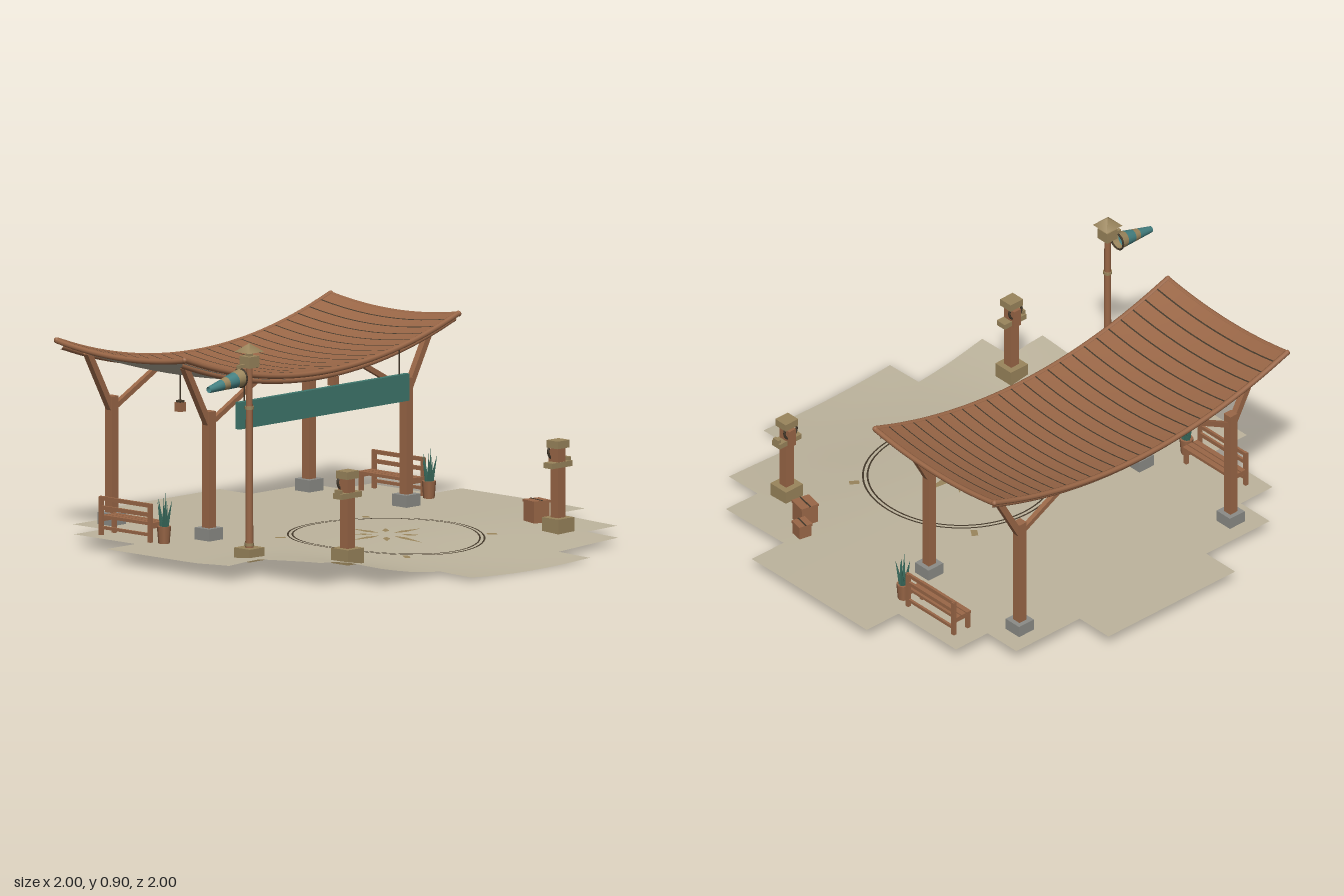
import * as THREE from 'three';

const mat = (name, color, side = THREE.FrontSide) => {
  const m = new THREE.MeshStandardMaterial({ color, side });
  m.name = name;
  return m;
};
const M = {
  ground: mat('sandy ground', 0xbdb49d, THREE.DoubleSide),
  wood: mat('warm wood', 0x9a6747),
  dark: mat('dark seam', 0x43382a),
  under: mat('roof lining', 0xb4ad9b),
  stone: mat('grey stone', 0x8c8c87),
  tan: mat('tan fittings', 0x9a855c),
  teal: mat('teal cloth', 0x3f776d),
  leaf: mat('leaf green', 0x3a6c5e, THREE.DoubleSide),
  sockTeal: mat('windsock teal', 0x437f80, THREE.DoubleSide),
  sockTan: mat('windsock tan', 0x9a855c, THREE.DoubleSide),
};

const { clamp, smoothstep } = THREE.MathUtils;
// Terrain: level court, dip at the front centre, rise at one front corner
const groundY = (x, z) => {
  const dip = 0.042 * smoothstep(z, 0.2, 1.05) * Math.exp(-((x / 0.6) ** 2));
  const rise = 0.053 * clamp((z - 0.15) / 0.5, 0, 1) * Math.exp(-(((x + 0.83) / 0.27) ** 2));
  return 0.055 - 0.01 * smoothstep(z, 0.1, 0.8) - dip + rise;
};
// Saddle-shaped roof
const RX = 0.77, RZ = 0.345, ZC = -0.475;
const roofY = (x, z) => 0.62 + 0.14 * (x / RX) ** 2 + 0.03 * ((z - ZC) / RZ) ** 2;

function add(parent, name, geo, material, x = 0, y = 0, z = 0, ry = 0) {
  const m = new THREE.Mesh(geo, material);
  m.name = name;
  m.position.set(x, y, z);
  m.rotation.y = ry;
  parent.add(m);
  return m;
}
const box = (w, h, d) => new THREE.BoxGeometry(w, h, d);
function group(parent, name) {
  const g = new THREE.Group();
  g.name = name;
  parent.add(g);
  return g;
}
// Square timber between two points
function beam(parent, name, a, b, t, material = M.wood) {
  const A = new THREE.Vector3(...a), B = new THREE.Vector3(...b);
  const m = add(parent, name, box(t, A.distanceTo(B), t), material);
  m.position.copy(A).lerp(B, 0.5);
  m.quaternion.setFromUnitVectors(new THREE.Vector3(0, 1, 0), B.sub(A).normalize());
}
// Lay a flat geometry over a height function
function drape(geo, heightAt, lift) {
  const p = geo.attributes.position;
  for (let i = 0; i < p.count; i++) p.setY(i, heightAt(p.getX(i), p.getZ(i)) + lift);
  geo.computeVertexNormals();
  return geo;
}

function buildGround(root) {
  // Stepped outline made by dropping grid cells
  const n = 24, geo = new THREE.PlaneGeometry(2, 2, n, n).rotateX(-Math.PI / 2);
  const limit = [6, 6, 5, 5, 4, 2], src = geo.index.array, keep = [];
  const ring = (i) => Math.floor(Math.abs(i + 0.5 - n / 2) / 2);
  for (let r = 0; r < n; r++) for (let c = 0; c < n; c++) {
    if (ring(c) < limit[ring(r)]) for (let k = 0; k < 6; k++) keep.push(src[(r * n + c) * 6 + k]);
  }
  geo.setIndex(keep);
  add(root, 'ground', drape(geo, groundY, 0), M.ground);

  // Landing circle with compass star
  const court = group(root, 'courtCircle'), cz = 0.22;
  for (const [r0, r1] of [[0.362, 0.369], [0.38, 0.387]]) {
    const g = new THREE.RingGeometry(r0, r1, 72).rotateX(-Math.PI / 2).translate(0, 0, cz);
    add(court, 'circleLine', drape(g, groundY, 0.003), M.dark);
  }
  for (let i = 0; i < 8; i++) {
    const [r0, r1, w] = i % 2 ? [0.055, 0.14, 0.015] : [0.04, 0.2, 0.016];
    const s = new THREE.Shape();
    s.moveTo(r0, 0);
    s.lineTo(r0 + 0.35 * (r1 - r0), -w);
    s.lineTo(r1, 0);
    s.lineTo(r0 + 0.35 * (r1 - r0), w);
    const g = new THREE.ShapeGeometry(s).rotateX(-Math.PI / 2).rotateY(i * Math.PI / 4).translate(0, 0, cz);
    add(court, 'starPoint', drape(g, groundY, 0.003), M.tan);
  }
  for (let i = 0; i < 4; i++) {
    const a = 0.615 + i * Math.PI / 2;
    const g = new THREE.PlaneGeometry(0.04, 0.026).rotateX(-Math.PI / 2).rotateY(-a);
    g.translate(0.42 * Math.cos(a), 0, cz + 0.42 * Math.sin(a));
    add(court, 'edgeMarker', drape(g, groundY, 0.003), M.tan);
  }
}

function buildPavilion(root) {
  const roof = group(root, 'roof');
  const sheet = (w, sx, face) => new THREE.PlaneGeometry(w, 2 * RZ, sx, 10).rotateX(face * Math.PI / 2);
  add(roof, 'roofPlanks', drape(sheet(2 * RX, 24, -1).translate(0, 0, ZC), roofY, 0.012), M.wood);
  add(roof, 'roofLining', drape(sheet(2 * RX, 24, 1).translate(0, 0, ZC), roofY, -0.006), M.under);
  for (let i = 1; i < 24; i++) {
    const g = sheet(0.006, 1, -1).translate(-RX + (i * 2 * RX) / 24, 0, ZC);
    add(roof, 'plankSeam', drape(g, roofY, 0.0145), M.dark);
  }
  // Rounded rails around the roof edge, doubled along the long sides
  const rail = (f, r) => {
    const pts = Array.from({ length: 13 }, (_, i) => f(i / 6 - 1));
    return new THREE.TubeGeometry(new THREE.CatmullRomCurve3(pts), 32, r, 8);
  };
  for (const s of [-1, 1]) {
    const z = ZC + s * RZ, zi = z - s * 0.022, x = s * RX;
    add(roof, 'longRail', rail((t) => new THREE.Vector3(t * RX, roofY(t * RX, z) + 0.007, z), 0.011), M.wood);
    add(roof, 'lowerRail', rail((t) => new THREE.Vector3(t * RX, roofY(t * RX, zi) - 0.012, zi), 0.011), M.wood);
    add(roof, 'endRail', rail((t) => new THREE.Vector3(x, roofY(x, ZC + t * RZ) + 0.004, ZC + t * RZ), 0.011), M.wood);
    for (const e of [-1, 1]) add(roof, 'railCorner', new THREE.SphereGeometry(0.012, 8, 6), M.wood, x, roofY(RX, z) + 0.006, ZC + e * RZ);
  }

  // Posts with stone feet and branching braces
  const frame = group(root, 'frame');
  for (const s of [-1, 1]) for (const z of [-0.205, -0.73]) {
    add(frame, 'postFoot', box(0.078, 0.055, 0.078), M.stone, s * 0.555, 0.075, z);
    add(frame, 'post', box(0.038, 0.47, 0.038), M.wood, s * 0.555, 0.327, z);
    beam(frame, 'outerBrace', [s * 0.555, 0.5, z], [s * 0.692, roofY(0.69, z), z], 0.026);
    beam(frame, 'innerBrace', [s * 0.545, 0.515, z], [s * 0.28, roofY(0.28, z), z], 0.02);
  }

  // Hanging sign board
  const sign = group(root, 'signBoard');
  add(sign, 'board', box(0.955, 0.107, 0.022), M.teal, 0, 0.543, -0.124);
  for (const s of [-1, 1]) beam(sign, 'hanger', [s * 0.435, 0.59, -0.128], [s * 0.435, roofY(0.435, -0.128), -0.128], 0.004, M.dark);

  // Lanterns under the roof
  for (const s of [-1, 1]) {
    const l = group(root, 'lantern'), x = s * 0.43;
    add(l, 'lanternBody', box(0.032, 0.036, 0.032), M.wood, x, 0.532, -0.48);
    add(l, 'lanternCap', box(0.024, 0.008, 0.024), M.dark, x, 0.554, -0.48);
    beam(l, 'lanternCord', [x, 0.555, -0.48], [x, roofY(x, -0.48), -0.48], 0.003, M.dark);
  }
}

function buildBenchAndPlant(root, s) {
  // Slatted bench facing inward
  const b = group(root, 'bench');
  for (const z of [-0.318, -0.582]) {
    add(b, 'backLeg', box(0.014, 0.155, 0.016), M.wood, s * 0.768, 0.128, z);
    add(b, 'frontLeg', box(0.014, 0.07, 0.016), M.wood, s * 0.695, 0.087, z);
    add(b, 'sideRail', box(0.075, 0.012, 0.012), M.wood, s * 0.732, 0.115, z);
  }
  for (const y of [0.2, 0.163]) add(b, 'backSlat', box(0.01, 0.016, 0.28), M.wood, s * 0.766, y, -0.45);
  for (const x of [0.695, 0.722, 0.749]) add(b, 'seatSlat', box(0.022, 0.012, 0.28), M.wood, s * x, 0.126, -0.45);
  add(b, 'stretcher', box(0.01, 0.012, 0.26), M.wood, s * 0.768, 0.085, -0.45);

  // Potted spiky plant
  const p = group(root, 'pottedPlant');
  p.position.set(s * 0.745, 0.053, -0.265);
  add(p, 'pot', new THREE.CylinderGeometry(0.028, 0.022, 0.07, 8), M.wood, 0, 0.035, 0);
  for (let i = 0; i < 7; i++) {
    const a = i * 2.4, h = i ? 0.13 - 0.006 * i : 0.135, lean = i ? 0.2 : 0;
    const leaf = add(p, 'leaf', new THREE.ConeGeometry(0.011, h, 4).translate(0, h / 2, 0), M.leaf, 0.01 * Math.cos(a), 0.065, 0.01 * Math.sin(a));
    leaf.rotation.set(Math.sin(a) * lean, 0, -Math.cos(a) * lean);
  }
}

function buildPillar(root, s) {
  // Marker pillar with cap, ring and side arms
  const g = group(root, 'markerPillar'), x = s * 0.592, z = 0.58;
  g.position.set(x, groundY(x, z), z);
  add(g, 'pillarFoot', box(0.09, 0.06, 0.09), M.tan, 0, 0.025, 0);
  add(g, 'pillarPost', box(0.042, 0.3, 0.04), M.wood, 0, 0.195, 0);
  add(g, 'pillarCap', box(0.066, 0.03, 0.06), M.tan, 0, 0.345, 0);
  add(g, 'pillarBlock', box(0.036, 0.075, 0.02), M.wood, 0, 0.285, -0.024);
  add(g, 'ring', new THREE.TorusGeometry(0.032, 0.005, 8, 24), M.dark, 0, 0.315, -0.022);
  add(g, 'sideArms', box(0.115, 0.022, 0.046), M.tan, 0, 0.264, 0);
  add(g, 'armTip', box(0.014, 0.035, 0.03), M.tan, s * 0.051, 0.272, 0);
}

function buildWindsock(root) {
  const g = group(root, 'windsockMast');
  g.position.set(-0.77, 0, 0.22);
  add(g, 'mastFoot', box(0.085, 0.05, 0.085), M.tan, 0, 0.073, 0);
  add(g, 'mast', new THREE.CylinderGeometry(0.013, 0.016, 0.73, 10), M.wood, 0, 0.455, 0);
  for (const y of [0.11, 0.65]) add(g, 'mastBand', new THREE.CylinderGeometry(0.018, 0.018, 0.012, 10), M.tan, 0, y, 0);
  add(g, 'mastHead', box(0.055, 0.045, 0.055), M.tan, 0, 0.832, 0);
  add(g, 'finialNeck', box(0.02, 0.025, 0.02), M.tan, 0, 0.862, 0);
  add(g, 'capRoof', new THREE.ConeGeometry(0.058, 0.034, 4).rotateY(Math.PI / 4), M.tan, 0, 0.888, 0);
  add(g, 'sockArm', box(0.06, 0.014, 0.014), M.tan, -0.035, 0.818, 0);
  add(g, 'sockHoop', new THREE.TorusGeometry(0.036, 0.004, 6, 20).rotateY(Math.PI / 2), M.dark, -0.05, 0.774, 0);
  // Tapering striped sock, drooping slightly
  const rad = (d) => 0.036 - 0.13 * d, stops = [0, 0.035, 0.08, 0.108, 0.18];
  const sock = group(g, 'sock');
  sock.position.set(-0.05, 0.774, 0);
  sock.rotation.z = 0.15;
  for (let i = 0; i < 4; i++) {
    const a = stops[i], b = stops[i + 1];
    const geo = new THREE.CylinderGeometry(rad(b), rad(a), b - a, 14, 1, true).rotateZ(Math.PI / 2);
    add(sock, 'sockBand', geo, i % 2 ? M.sockTeal : M.sockTan, -(a + b) / 2, 0, 0);
  }
}

function buildCrates(root) {
  for (const [x, z, w, h] of [[0.663, 0.395, 0.072, 0.08], [0.74, 0.328, 0.054, 0.052]]) {
    const c = group(root, 'crate');
    c.position.set(x, groundY(x, z) - 0.003, z);
    c.rotation.y = -0.2;
    add(c, 'crateBody', box(w, h, w), M.wood, 0, h / 2, 0);
    add(c, 'crateLid', box(w + 0.006, 0.01, w + 0.006), M.wood, 0, h + 0.004, 0);
    add(c, 'crateStrap', box(0.006, 0.003, w + 0.007), M.dark, 0, h + 0.009, 0);
  }
}

export function createModel() {
  const root = new THREE.Group();
  root.name = 'openPavilion';
  buildGround(root);
  buildPavilion(root);
  for (const s of [-1, 1]) {
    buildBenchAndPlant(root, s);
    buildPillar(root, s);
  }
  buildWindsock(root);
  buildCrates(root);
  return root;
}
